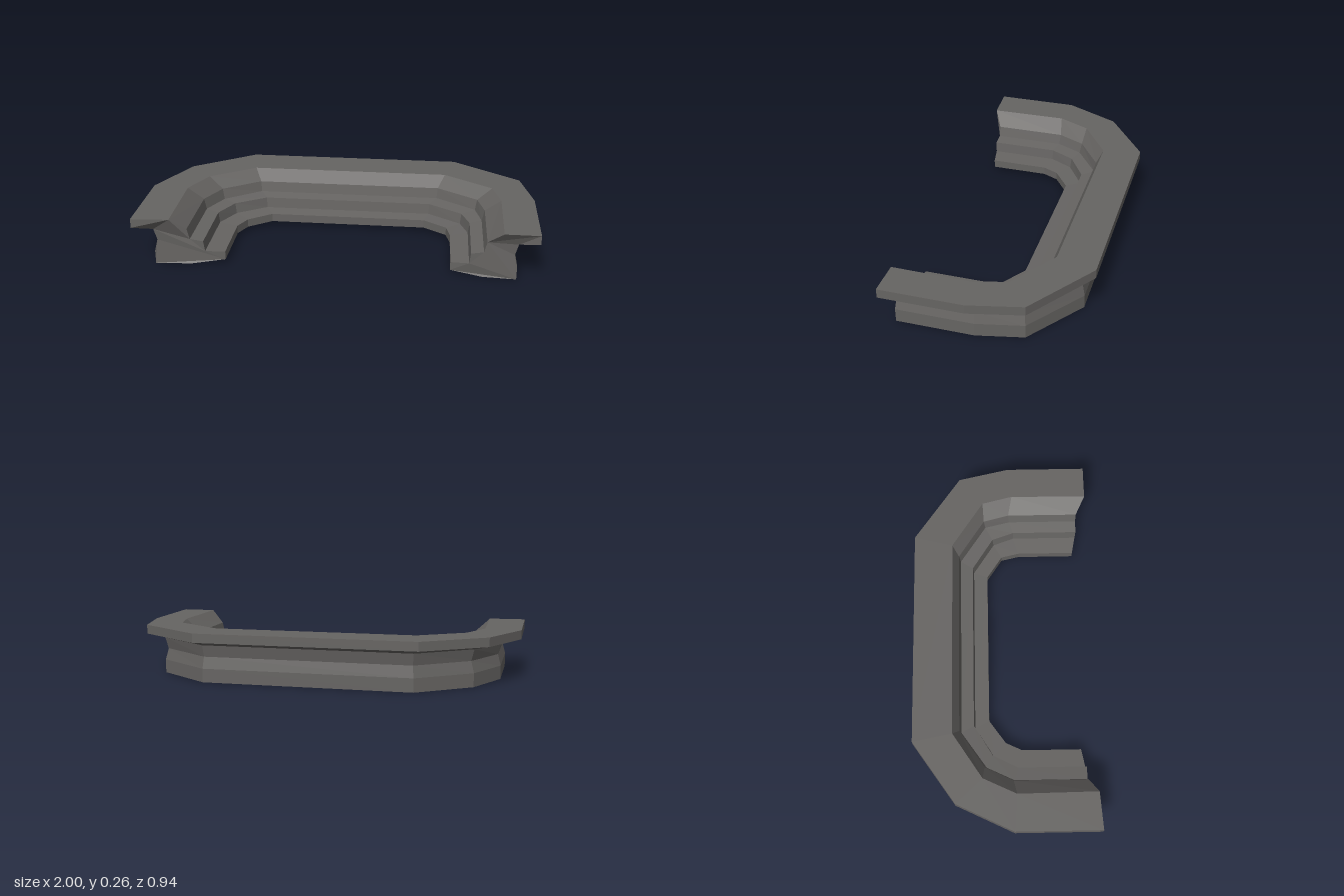
import * as THREE from 'three';

// Plan outlines as [x, z], from the left-hand end round the back to the right-hand end
const PLAN = {
  lip: [[-1, 0.467], [-1, 0.035], [-0.86, -0.255], [-0.545, -0.472], [0.59, -0.472], [0.94, -0.23], [1, 0.035], [1, 0.455]],
  wall: [[-0.9, 0.427], [-0.9, 0.03], [-0.785, -0.215], [-0.515, -0.415], [0.56, -0.415], [0.85, -0.203], [0.9, 0.03], [0.9, 0.42]],
  waist: [[-0.885, 0.42], [-0.885, 0.03], [-0.77, -0.208], [-0.51, -0.403], [0.555, -0.403], [0.835, -0.196], [0.885, 0.03], [0.885, 0.413]],
  rim: [[-0.81, 0.455], [-0.815, 0.05], [-0.735, -0.12], [-0.505, -0.27], [0.54, -0.27], [0.79, -0.105], [0.83, 0.055], [0.825, 0.455]],
  upperStep: [[-0.735, 0.41], [-0.735, 0.035], [-0.665, -0.11], [-0.475, -0.237], [0.505, -0.237], [0.715, -0.1], [0.75, 0.035], [0.75, 0.41]],
  upperFoot: [[-0.722, 0.41], [-0.722, 0.04], [-0.655, -0.1], [-0.47, -0.228], [0.5, -0.228], [0.705, -0.092], [0.737, 0.04], [0.737, 0.41]],
  middleStep: [[-0.655, 0.41], [-0.655, 0.06], [-0.59, -0.068], [-0.432, -0.164], [0.462, -0.164], [0.634, -0.054], [0.675, 0.06], [0.675, 0.41]],
  middleFoot: [[-0.648, 0.408], [-0.648, 0.062], [-0.583, -0.062], [-0.43, -0.158], [0.459, -0.158], [0.628, -0.048], [0.668, 0.062], [0.668, 0.408]],
  lowerStep: [[-0.55, 0.39], [-0.55, 0.085], [-0.51, 0], [-0.39, -0.085], [0.435, -0.085], [0.555, -0.005], [0.577, 0.09], [0.577, 0.39]],
  underside: [[-0.72, 0.415], [-0.72, 0.04], [-0.65, -0.1], [-0.47, -0.225], [0.5, -0.225], [0.7, -0.09], [0.735, 0.04], [0.735, 0.41]],
};

// Cross-section: outline name and height, from the outer lip over the steps and back under
const SECTION = [
  ['lip', 0.257], ['rim', 0.257], ['upperStep', 0.19], ['upperFoot', 0.135],
  ['middleStep', 0.125], ['middleFoot', 0.07], ['lowerStep', 0.063], ['lowerStep', 0.02],
  ['underside', 0], ['wall', 0], ['wall', 0.07], ['waist', 0.13], ['wall', 0.19], ['lip', 0.21],
];

function steppedSweep() {
  const count = PLAN.lip.length;
  const n = SECTION.length;
  const point = (k, s) => {
    const [name, y] = SECTION[k % n];
    const [x, z] = PLAN[name][s];
    return [x, y, z];
  };
  const positions = [];
  const triangle = (a, b, c) => positions.push(...a, ...b, ...c);

  // Faces along the sweep
  for (let s = 0; s < count - 1; s++) {
    for (let k = 0; k < n; k++) {
      const a = point(k, s), b = point(k + 1, s);
      const c = point(k + 1, s + 1), d = point(k, s + 1);
      triangle(a, b, c);
      triangle(a, c, d);
    }
  }

  // End caps, both facing forward
  for (const s of [0, count - 1]) {
    const ring = SECTION.map((_, k) => point(k, s));
    const outline = ring.map(([x, y]) => new THREE.Vector2(x, y));
    for (const [i, j, k] of THREE.ShapeUtils.triangulateShape(outline, [])) {
      const area = THREE.ShapeUtils.area([outline[i], outline[j], outline[k]]);
      if (area > 0) triangle(ring[i], ring[j], ring[k]);
      else triangle(ring[i], ring[k], ring[j]);
    }
  }

  const geometry = new THREE.BufferGeometry();
  geometry.setAttribute('position', new THREE.Float32BufferAttribute(positions, 3));
  geometry.computeVertexNormals();
  return geometry;
}

export function createModel() {
  const stone = new THREE.MeshStandardMaterial({ color: 0x666462, flatShading: true });
  stone.name = 'dark grey stone';

  const steps = new THREE.Mesh(steppedSweep(), stone);
  steps.name = 'steppedSurround';

  const model = new THREE.Group();
  model.name = 'steppedPlatform';
  model.add(steps);
  return model;
}
